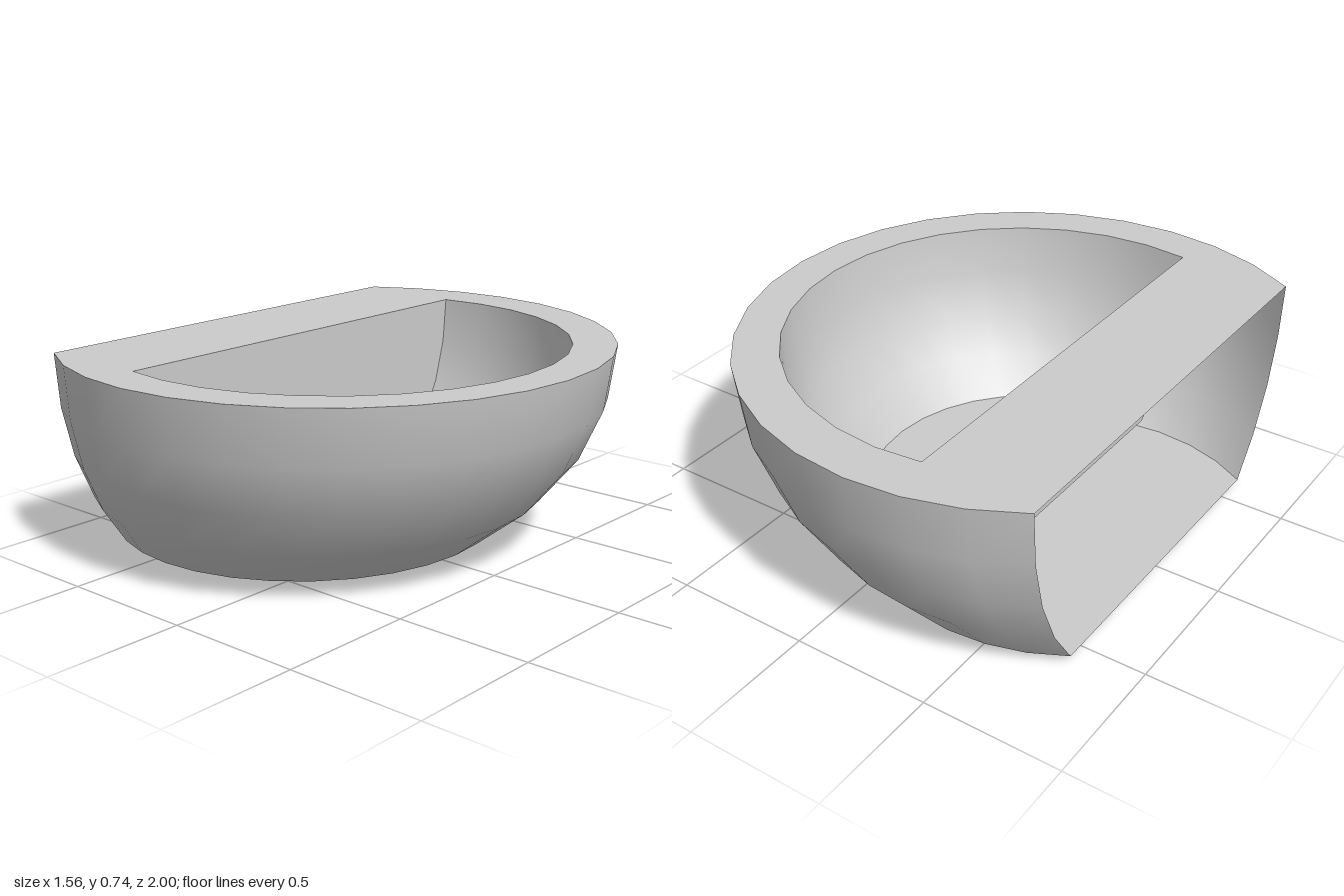
import * as THREE from 'three';
import { toCreasedNormals } from 'three/addons/utils/BufferGeometryUtils.js';

const material = new THREE.MeshStandardMaterial({ color: 0xcccccc, side: THREE.DoubleSide });
const RIM = 0.735;
const DRAIN = { x: -0.095, z: -0.015, r: 0.083 };
// height fraction and plan scale, from floor to rim
const PROFILE = [[0, 0.711], [0.21, 0.833], [0.455, 0.926], [0.72, 0.981], [1, 1]];

// Circular arc in plan, cut off by a straight back edge
function arcPlan(cx, cz, r, halfAngle, segments) {
  const points = [];
  for (let i = 0; i <= segments; i++) {
    const a = THREE.MathUtils.degToRad(halfAngle) * (2 * i / segments - 1);
    points.push([cx + r * Math.cos(a), cz + r * Math.sin(a)]);
  }
  return points;
}

// Shrinks a plan towards the middle of its straight back edge
function scalePlan(plan, s) {
  const [a, b] = [plan[0], plan[plan.length - 1]];
  const ox = (a[0] + b[0]) / 2, oz = (a[1] + b[1]) / 2;
  return plan.map(([x, z]) => [ox + (x - ox) * s, oz + (z - oz) * s]);
}

// Stacks scaled plans; a closed loft also gets the flat back wall
function loft(plan, y0, y1, closed) {
  const n = plan.length, positions = [], index = [];
  for (const [t, s] of PROFILE) {
    for (const [x, z] of scalePlan(plan, s)) positions.push(x, y0 + (y1 - y0) * t, z);
  }
  for (let i = 0; i < PROFILE.length - 1; i++) {
    for (let j = 0; j < (closed ? n : n - 1); j++) {
      const k = (j + 1) % n;
      const a = i * n + j, b = i * n + k, c = a + n, d = b + n;
      if (closed) index.push(a, b, c, b, d, c);
      else index.push(a, c, b, b, c, d);
    }
  }
  const geometry = new THREE.BufferGeometry();
  geometry.setAttribute('position', new THREE.Float32BufferAttribute(positions, 3));
  geometry.setIndex(index);
  geometry.computeVertexNormals();
  return closed ? toCreasedNormals(geometry, 0.9) : geometry;
}

// Horizontal sheet with holes, facing up or down
function sheet(plan, holes, y, down = false) {
  const toVectors = (p) => p.map(([x, z]) => new THREE.Vector2(x, -z));
  const shape = new THREE.Shape(toVectors(plan));
  for (const hole of holes) shape.holes.push(new THREE.Path(toVectors(hole)));
  const geometry = new THREE.ShapeGeometry(shape).rotateX(-Math.PI / 2);
  if (down) {
    geometry.index.array.reverse();
    geometry.computeVertexNormals();
  }
  return geometry.translate(0, y, 0);
}

function circle(x, z, r, n) {
  return Array.from({ length: n }, (_, i) => {
    const a = i / n * Math.PI * 2;
    return [x + r * Math.cos(a), z + r * Math.sin(a)];
  });
}

export function createModel() {
  const group = new THREE.Group();
  const add = (name, geometry) => {
    const mesh = new THREE.Mesh(geometry, material);
    mesh.name = name;
    group.add(mesh);
    return mesh;
  };

  const outer = arcPlan(-0.223, 0, 1, 123.75, 22);
  const inner = arcPlan(-0.203, 0.012, 0.832, 101.25, 18);
  const outerFloor = 0.03, bowlFloor = 0.14;
  const drainHole = circle(DRAIN.x, DRAIN.z, DRAIN.r, 24);

  // Outer shell, open at the flat back
  add('outerShell', loft(outer, outerFloor, RIM, false));
  add('underside', sheet(scalePlan(outer, PROFILE[0][1]), [drainHole], outerFloor, true));

  // Flat rim with the wide ledge along the back
  add('rim', sheet(outer, [inner], RIM));

  // Basin with an upright back wall
  add('bowl', loft(inner, bowlFloor, RIM, true));
  add('bowlFloor', sheet(scalePlan(inner, PROFILE[0][1]), [drainHole], bowlFloor));

  // Drain pipe, collar and perforated strainer
  const pipe = new THREE.CylinderGeometry(DRAIN.r, DRAIN.r, bowlFloor, 24, 1, true);
  add('drainPipe', pipe).position.set(DRAIN.x, bowlFloor / 2, DRAIN.z);

  const collar = new THREE.TorusGeometry(DRAIN.r + 0.003, 0.007, 8, 24).rotateX(Math.PI / 2);
  add('drainCollar', collar).position.set(DRAIN.x, bowlFloor, DRAIN.z);

  const holes = [circle(DRAIN.x, DRAIN.z, 0.014, 12)];
  for (const [x, z] of circle(DRAIN.x, DRAIN.z, 0.055, 8)) holes.push(circle(x, z, 0.014, 12));
  add('strainer', sheet(drainHole, holes, bowlFloor - 0.01));

  return group;
}
